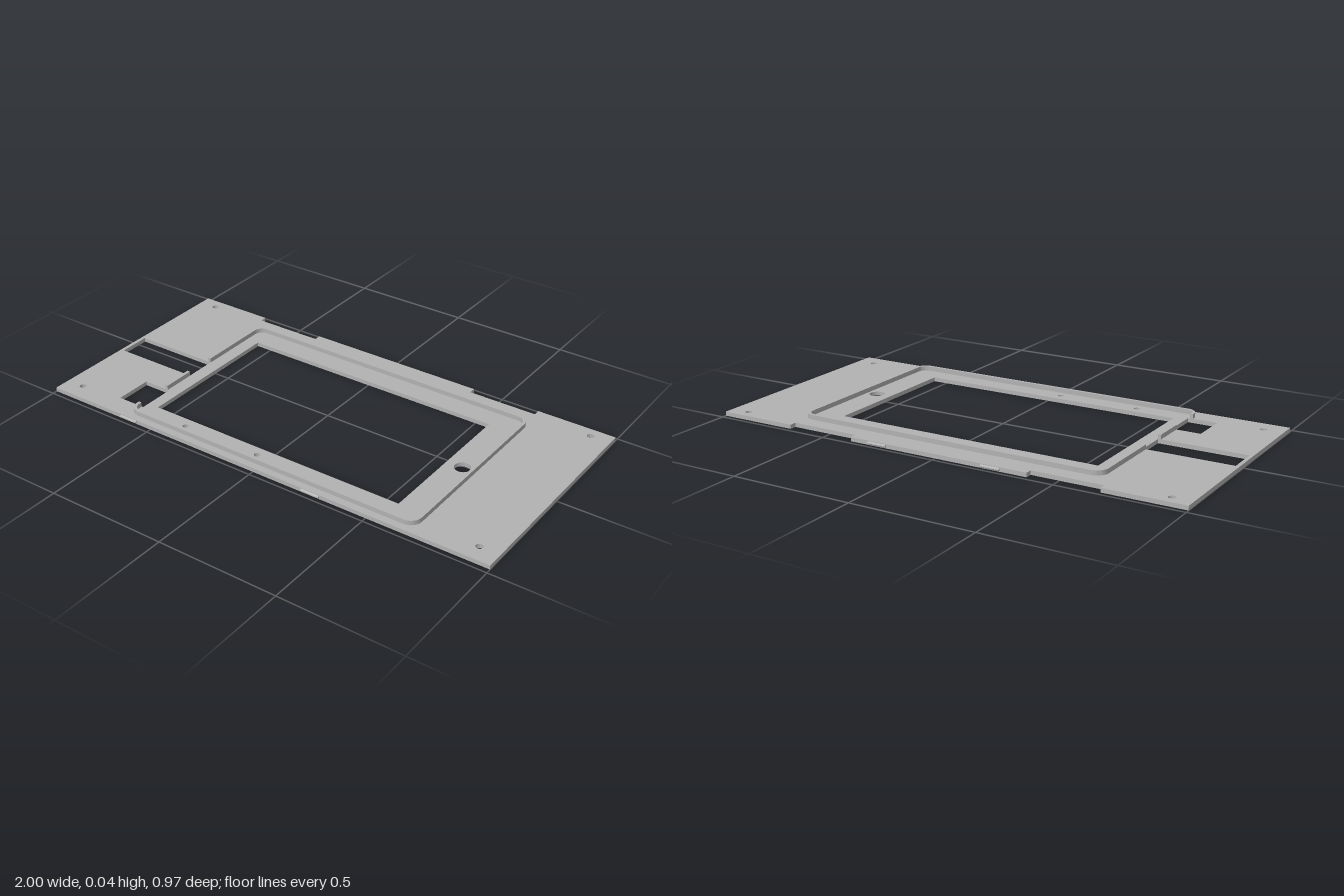
import * as THREE from 'three';
import { toCreasedNormals } from 'three/addons/utils/BufferGeometryUtils.js';

const PLATE_TOP = 0.017, RIM_TOP = 0.036;

// Shapes are drawn in plan (x, z) and extruded upwards between two heights.
function slab(name, shape, bottom, top, material) {
  const geo = new THREE.ExtrudeGeometry(shape, { depth: top - bottom, bevelEnabled: false, curveSegments: 10 });
  geo.rotateX(Math.PI / 2).translate(0, top, 0);
  const mesh = new THREE.Mesh(toCreasedNormals(geo, 0.6), material);
  mesh.name = name;
  return mesh;
}

const polygon = (pts) => new THREE.Shape(pts.map(([x, z]) => new THREE.Vector2(x, z)));
const rect = (x0, z0, x1, z1) => polygon([[x0, z0], [x1, z0], [x1, z1], [x0, z1]]);
const circle = (x, z, r) => new THREE.Path().absarc(x, z, r, 0, Math.PI * 2);

// Points around three-sided-plus run of a rounded rectangle, open on its -x side
function openLoop(x0, z0, x1, z1, r, zStart, zEnd) {
  const pts = [[x0, zStart]];
  const corners = [[x0 + r, z0 + r, 2], [x1 - r, z0 + r, 3], [x1 - r, z1 - r, 4], [x0 + r, z1 - r, 5]];
  for (const [cx, cz, quarter] of corners) {
    for (let i = 0; i <= 8; i++) {
      const a = (quarter + i / 8) * Math.PI / 2;
      pts.push([cx + r * Math.cos(a), cz + r * Math.sin(a)]);
    }
  }
  pts.push([x0, zEnd]);
  return pts;
}

export function createModel() {
  const group = new THREE.Group();
  group.name = 'panelFrame';
  const grey = new THREE.MeshStandardMaterial({ color: 0xb2b2b2 });
  grey.name = 'grey';

  // Base plate with two notches in the back edge
  const plate = polygon([
    [-1, -0.481], [-0.675, -0.481], [-0.675, -0.452], [-0.385, -0.452], [-0.385, -0.481],
    [0.38, -0.481], [0.38, -0.452], [0.67, -0.452], [0.67, -0.481], [1, -0.481],
    [1, 0.479], [-1, 0.479],
  ]);
  plate.holes.push(
    rect(-0.565, -0.285, 0.56, 0.358), // main window
    rect(-0.985, -0.037, -0.622, 0.095), // side slot
    rect(-0.735, 0.234, -0.614, 0.39), // small opening
    circle(0.628, 0.03, 0.032), // button hole
    circle(-0.387, 0.4, 0.012), circle(-0.04, 0.4, 0.012),
  );
  for (const x of [-0.92, 0.918]) for (const z of [-0.436, 0.408]) plate.holes.push(circle(x, z, 0.014));
  group.add(slab('basePlate', plate, 0, PLATE_TOP, grey));

  // Raised rim, interrupted where the two openings cross it
  const outer = openLoop(-0.634, -0.386, 0.685, 0.45, 0.048, -0.037, 0.39);
  const inner = openLoop(-0.621, -0.373, 0.672, 0.437, 0.035, -0.037, 0.39);
  group.add(slab('rim', polygon([...outer, ...inner.reverse()]), PLATE_TOP, RIM_TOP, grey));
  group.add(slab('rimPost', rect(-0.634, 0.095, -0.621, 0.234), PLATE_TOP, RIM_TOP, grey));

  // Small wedge-shaped snap tabs on the front and back edges
  const wedge = new THREE.Shape([[0, 0.002], [0.006, 0.006], [0.006, 0.01], [0, 0.014]].map(([x, y]) => new THREE.Vector2(x, y)));
  const tabGeo = new THREE.ExtrudeGeometry(wedge, { depth: 0.08, bevelEnabled: false });
  tabGeo.translate(0, 0, -0.04);
  for (const [x, side] of [[-0.61, 1], [0.26, 1], [-0.235, -1], [0.26, -1]]) {
    const tab = new THREE.Mesh(tabGeo, grey);
    tab.name = side > 0 ? 'frontTab' : 'backTab';
    tab.rotation.y = -side * Math.PI / 2;
    tab.position.set(x, 0, side > 0 ? 0.479 : -0.481);
    group.add(tab);
  }
  return group;
}
